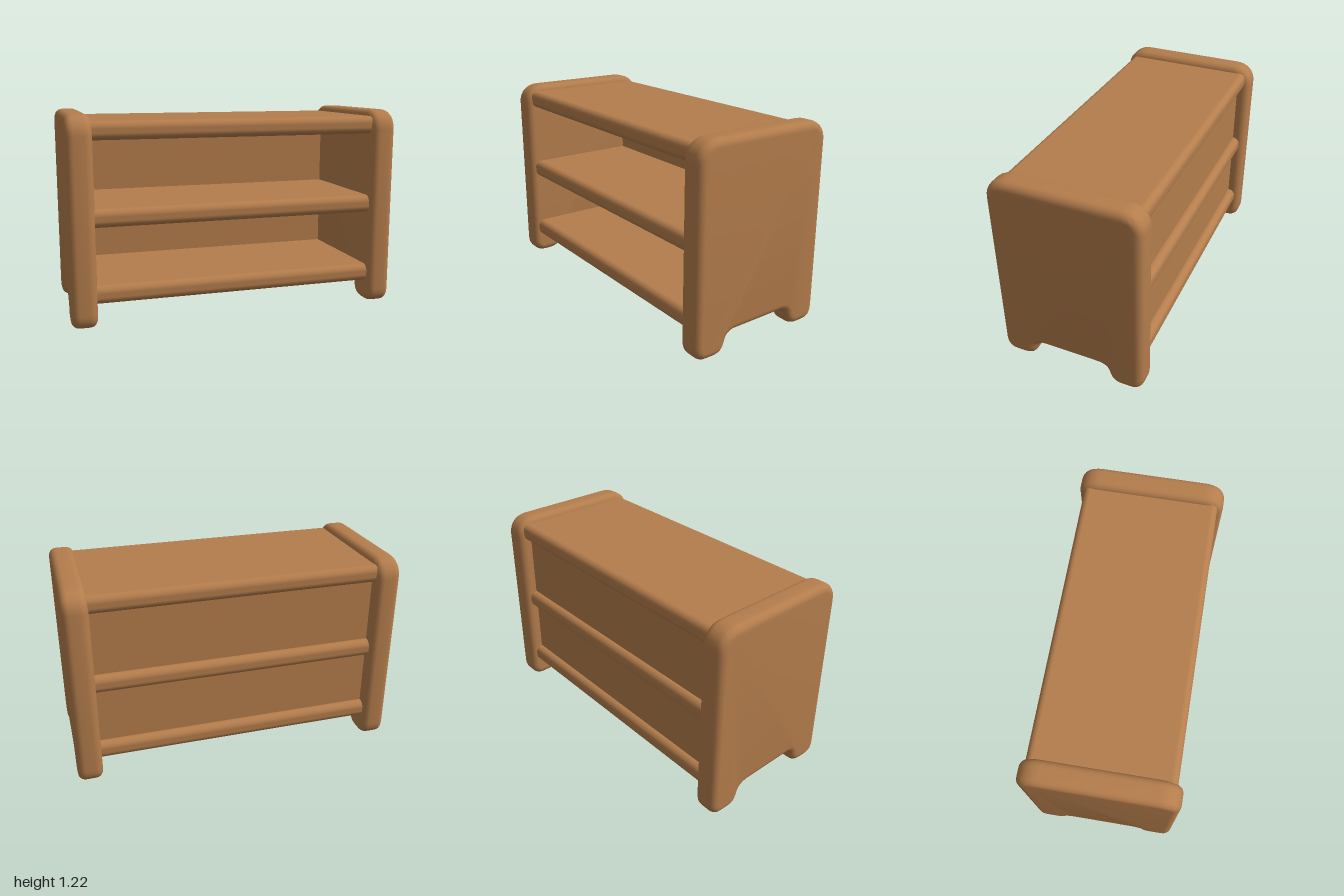
import * as THREE from 'three';
import { toCreasedNormals } from 'three/addons/utils/BufferGeometryUtils.js';
import { RoundedBoxGeometry } from 'three/addons/geometries/RoundedBoxGeometry.js';

const HEIGHT = 1.22, HALF_DEPTH = 0.45, SIDE_THICKNESS = 0.15, BEVEL = 0.045;

// Side panel outline: rounded top corners and two feet around a low arch
function sideOutline() {
  const d = HALF_DEPTH, h = HEIGHT, s = new THREE.Shape();
  s.moveTo(0.17, 0.12);
  s.quadraticCurveTo(0.225, 0.12, 0.235, 0.07);
  s.bezierCurveTo(0.25, 0.02, 0.27, 0.004, 0.32, 0);
  s.lineTo(d - 0.08, 0);
  s.bezierCurveTo(d - 0.03, 0, d, 0.03, d, 0.09);
  s.lineTo(d, h - 0.12);
  s.bezierCurveTo(d, h - 0.05, d - 0.05, h, d - 0.13, h);
  s.lineTo(-d + 0.13, h);
  s.bezierCurveTo(-d + 0.05, h, -d, h - 0.05, -d, h - 0.12);
  s.lineTo(-d, 0.09);
  s.bezierCurveTo(-d, 0.03, -d + 0.03, 0, -d + 0.08, 0);
  s.lineTo(-0.32, 0);
  s.bezierCurveTo(-0.27, 0.004, -0.25, 0.02, -0.235, 0.07);
  s.quadraticCurveTo(-0.225, 0.12, -0.17, 0.12);
  s.closePath();
  return s;
}

export function createModel() {
  const wood = new THREE.MeshStandardMaterial({ color: 0xb47d4c });
  wood.name = 'warm wood';
  const group = new THREE.Group();
  group.name = 'shelfUnit';

  const add = (name, geometry, x, y, z) => {
    const mesh = new THREE.Mesh(geometry, wood);
    mesh.name = name;
    mesh.position.set(x, y, z);
    group.add(mesh);
  };

  // Side panels with softly rounded edges
  const extruded = new THREE.ExtrudeGeometry(sideOutline(), {
    depth: SIDE_THICKNESS - 2 * BEVEL,
    bevelEnabled: true,
    bevelThickness: BEVEL,
    bevelSize: BEVEL,
    bevelOffset: -BEVEL,
    bevelSegments: 6,
    curveSegments: 8,
  });
  extruded.center();
  extruded.rotateY(Math.PI / 2);
  const side = toCreasedNormals(extruded, 0.8);
  const sideX = 1 - SIDE_THICKNESS / 2;
  add('leftSide', side, sideX, HEIGHT / 2, 0);
  add('rightSide', side, -sideX, HEIGHT / 2, 0);

  // Three shelves with rounded front and back edges, let into the sides
  const shelves = [['bottomShelf', 0.19], ['middleShelf', 0.635], ['topShelf', 1.128]];
  for (const [name, y] of shelves) {
    add(name, new RoundedBoxGeometry(1.82, 0.108, 0.83, 5, 0.042), 0, y, 0);
  }

  // Thin back panel, recessed behind the shelf edges
  add('backPanel', new THREE.BoxGeometry(1.8, 0.92, 0.05), 0, 0.655, -0.345);

  return group;
}
